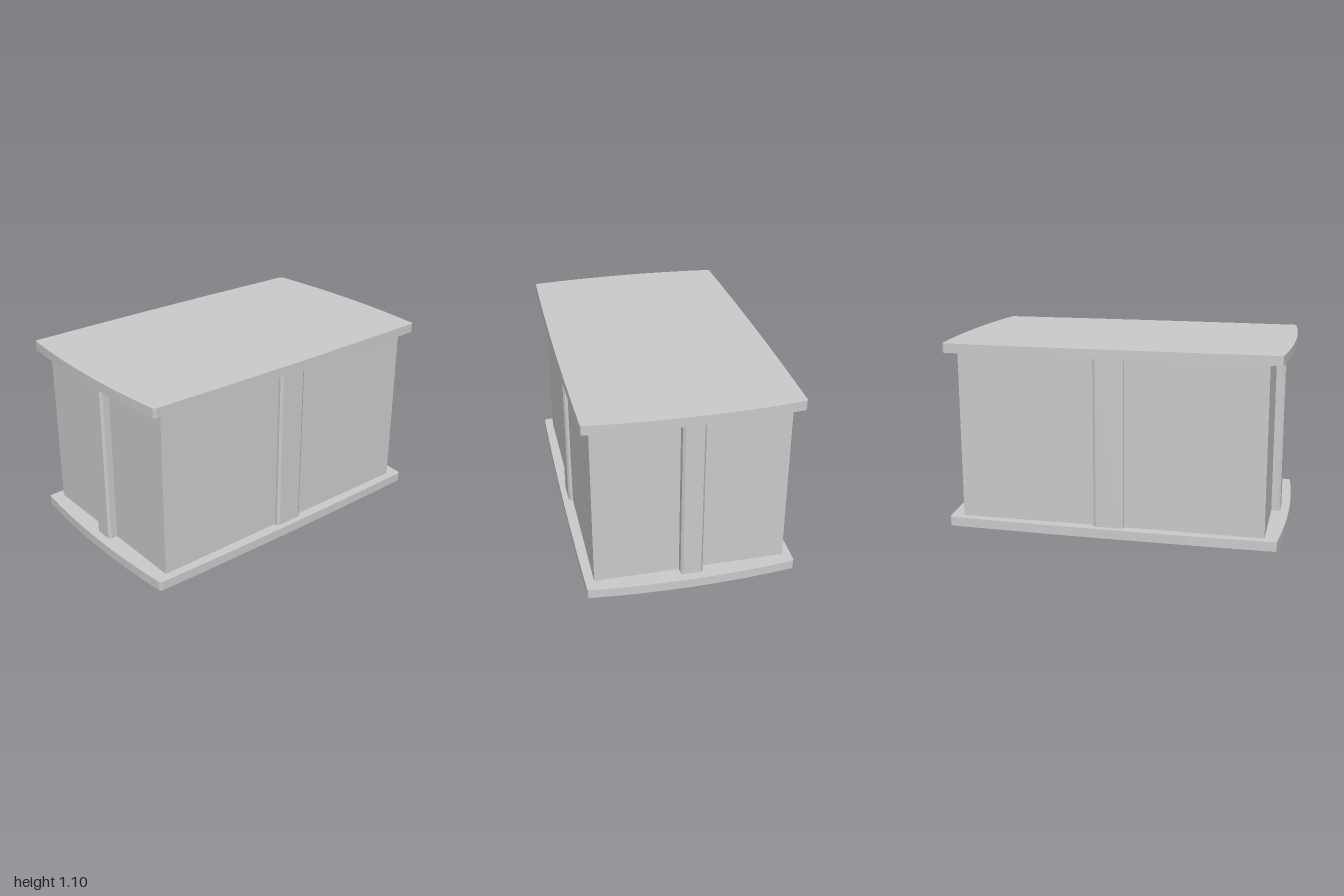
import * as THREE from 'three';

const material = new THREE.MeshStandardMaterial({ color: 0xcccccc, flatShading: true });
const HEIGHT = 1.1, PLATE = 0.055;

// Extrudes a plan outline upwards from y0 to y1.
function slab(name, shape, y0, y1) {
  const geometry = new THREE.ExtrudeGeometry(shape, { depth: y1 - y0, bevelEnabled: false, curveSegments: 8 });
  geometry.rotateX(-Math.PI / 2);
  geometry.translate(0, y0, 0);
  const mesh = new THREE.Mesh(geometry, material);
  mesh.name = name;
  return mesh;
}

// Plate outline: four gently bowed edges joined by small rounded corners.
function plateShape() {
  const x = 0.585, z = 0.945, ox = 0.6, oz = 0.968;
  const s = new THREE.Shape();
  s.moveTo(ox, -z);
  s.quadraticCurveTo(0.622, 0, ox, z);
  s.quadraticCurveTo(ox, oz, x, oz);
  s.quadraticCurveTo(0, 1.032, -x, oz);
  s.quadraticCurveTo(-ox, oz, -ox, z);
  s.quadraticCurveTo(-0.622, 0, -ox, -z);
  s.quadraticCurveTo(-ox, -oz, -x, -oz);
  s.quadraticCurveTo(0, -1.032, x, -oz);
  s.quadraticCurveTo(ox, -oz, ox, -z);
  return s;
}

// Rib outline with chamfered outer corners; local +y points away from the wall.
function ribShape(halfWidth, depth, chamferWidth, chamferDepth) {
  const w = halfWidth, c = w - chamferWidth;
  return new THREE.Shape([
    [-w, -0.03], [w, -0.03], [w, depth - chamferDepth], [c, depth], [-c, depth], [-w, depth - chamferDepth],
  ].map(([a, b]) => new THREE.Vector2(a, b)));
}

export function createModel() {
  const group = new THREE.Group();
  group.name = 'box';

  // Top and bottom plates
  group.add(slab('bottomPlate', plateShape(), 0, PLATE));
  group.add(slab('topPlate', plateShape(), HEIGHT - PLATE, HEIGHT));

  // Straight walled body
  const body = new THREE.Mesh(new THREE.BoxGeometry(1.1, HEIGHT - 2 * PLATE, 1.79), material);
  body.name = 'body';
  body.position.y = HEIGHT / 2;
  group.add(body);

  // One vertical rib in the middle of each wall
  const endRib = ribShape(0.064, 0.053, 0.012, 0.014);
  const sideRib = ribShape(0.089, 0.025, 0.015, 0.01);
  const ribs = [
    ['backRib', endRib, 0, -0.895, 0], ['frontRib', endRib, 0, 0.895, Math.PI],
    ['leftRib', sideRib, 0.55, 0, -Math.PI / 2], ['rightRib', sideRib, -0.55, 0, Math.PI / 2],
  ];
  for (const [name, shape, x, z, turn] of ribs) {
    const rib = slab(name, shape, PLATE, HEIGHT - PLATE);
    rib.position.set(x, 0, z);
    rib.rotation.y = turn;
    group.add(rib);
  }
  return group;
}
